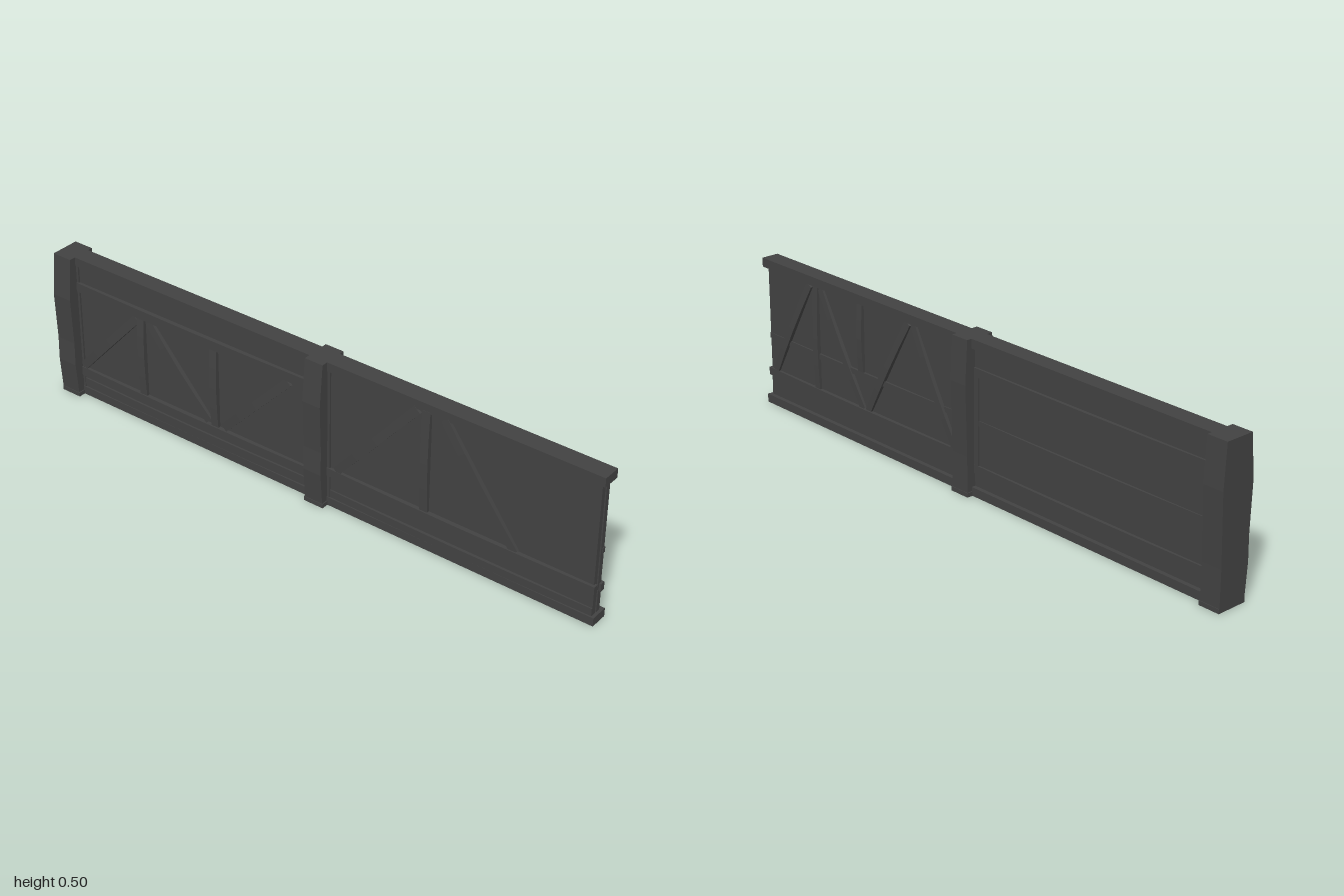
import * as THREE from 'three';

const wood = new THREE.MeshStandardMaterial({ color: 0x424242, flatShading: true });

export function createModel() {
  const wall = new THREE.Group();
  wall.name = 'timberWall';

  function add(name, geometry) {
    const mesh = new THREE.Mesh(geometry, wood);
    mesh.name = name;
    wall.add(mesh);
    return mesh;
  }

  // Box given by its limits on each axis
  function block(name, x0, x1, y0, y1, z0, z1) {
    const mesh = add(name, new THREE.BoxGeometry(x1 - x0, y1 - y0, z1 - z0));
    mesh.position.set((x0 + x1) / 2, (y0 + y1) / 2, (z0 + z1) / 2);
  }

  // Hand-hewn timber laid on a face of the wall, bowed slightly outwards
  function timber(name, side, x0, y0, x1, y1, width = 0.028, out = 0.027) {
    const length = Math.hypot(x1 - x0, y1 - y0);
    const depth = out - 0.01;
    const g = new THREE.BoxGeometry(length, width, depth, 4, 1, 1);
    const p = g.attributes.position;
    for (let i = 0; i < p.count; i++) {
      const t = p.getX(i) / length;
      if (p.getZ(i) * side > 0) p.setZ(i, p.getZ(i) + side * 0.006 * Math.cos(Math.PI * t));
    }
    g.rotateZ(Math.atan2(y1 - y0, x1 - x0));
    g.translate((x0 + x1) / 2, (y0 + y1) / 2, side * (0.01 + depth / 2));
    g.computeVertexNormals();
    add(name, g);
  }

  // Swelling posts on flat feet
  const profile = [
    [0.047, 0], [0.056, 0.12], [0.054, 0.2], [0.06, 0.36], [0.047, 0.5],
    [-0.051, 0.5], [-0.059, 0.36], [-0.052, 0.13], [-0.052, 0],
  ];
  for (const [x0, x1] of [[-1, -0.93], [0, 0.065]]) {
    const shape = new THREE.Shape(profile.map(([z, y]) => new THREE.Vector2(-z, y)));
    const g = new THREE.ExtrudeGeometry(shape, { depth: x1 - x0, bevelEnabled: false });
    g.rotateY(Math.PI / 2);
    g.translate(x0, 0, 0);
    add('post', g);
    block('postFoot', x0 - (x0 < 0 ? 0 : 0.003), x1 + 0.003, 0, 0.014, -0.054, 0.05);
  }

  // Rails running the whole length
  block('topRail', -0.99, 1, 0.47, 0.5, -0.034, 0.026);
  block('sill', -0.99, 1, 0, 0.028, -0.034, 0.026);

  // Front and back skins of boards
  for (const side of [1, -1]) {
    const [z0, z1] = side > 0 ? [0.003, 0.018] : [-0.02, -0.004];
    block('wallPanel', -0.95, 0.988, 0.1, 0.472, z0, z1);
    block('lowerBoard', -0.95, 0.99, 0.02, 0.102, z0, z1);
  }
  block('panelCore', -0.95, 0.98, 0.01, 0.48, -0.005, 0.004);

  // Front of the left-hand bay
  timber('frontRail', 1, -0.94, 0.395, 0.01, 0.395, 0.032);
  timber('frontRail', 1, -0.94, 0.086, 0.01, 0.086, 0.032);
  timber('frontLowerRail', 1, -0.94, 0.045, 0.01, 0.045, 0.03, 0.022);
  block('sideStud', -0.935, -0.922, 0.02, 0.475, 0.003, 0.024);
  const frontBraces = [
    [-0.92, 0.11, -0.68, 0.37], [-0.663, 0.095, -0.663, 0.385],
    [-0.63, 0.375, -0.395, 0.11], [-0.37, 0.095, -0.37, 0.385],
    [-0.335, 0.11, -0.08, 0.375],
    // Front of the right-hand bay
    [0.1, 0.135, 0.385, 0.468], [0.417, 0.125, 0.417, 0.475], [0.48, 0.47, 0.73, 0.13],
  ];
  for (const b of frontBraces) timber('frontBrace', 1, ...b);
  timber('frontRail', 1, 0.06, 0.12, 0.995, 0.12, 0.028);
  timber('frontLowerRail', 1, 0.06, 0.042, 0.99, 0.042, 0.025, 0.022);
  block('sideStud', 0.06, 0.074, 0.02, 0.475, 0.003, 0.024);

  // Back of the right-hand bay
  const backBraces = [
    [0.96, 0.12, 0.77, 0.465], [0.74, 0.11, 0.74, 0.475], [0.715, 0.465, 0.515, 0.12],
    [0.52, 0.23, 0.52, 0.475], [0.49, 0.12, 0.295, 0.465], [0.27, 0.465, 0.085, 0.12],
  ];
  for (const b of backBraces) timber('backBrace', -1, ...b, 0.024);
  timber('backMiddleRail', -1, 0.06, 0.235, 0.99, 0.235, 0.018, 0.022);
  timber('backRail', -1, 0.06, 0.11, 0.995, 0.11, 0.026);

  // Back of the left-hand bay
  timber('backRail', -1, -0.94, 0.395, 0.01, 0.395, 0.028, 0.025);
  timber('backMiddleRail', -1, -0.94, 0.235, 0.01, 0.235, 0.018, 0.022);
  timber('backRail', -1, -0.94, 0.085, 0.01, 0.085, 0.028, 0.025);
  block('backStud', -0.018, 0.01, 0.08, 0.4, -0.025, -0.004);
  block('backStud', -0.94, -0.915, 0.08, 0.4, -0.025, -0.004);

  return wall;
}
